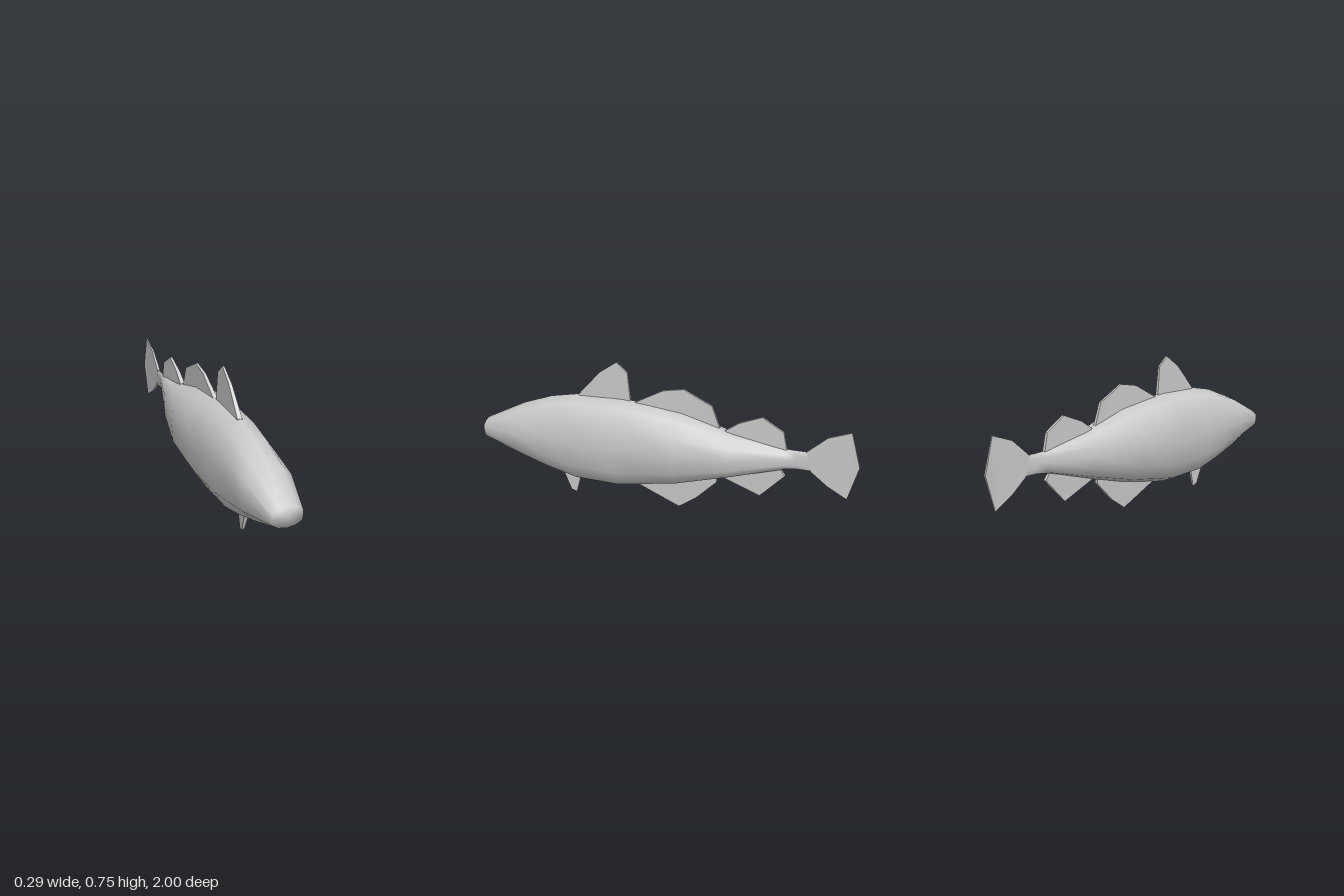
import * as THREE from 'three';

const material = new THREE.MeshStandardMaterial({ color: 0xcccccc, side: THREE.DoubleSide });

// Body cross-sections, nose to tail: [z, bottom, top, half width]
const SECTIONS = [
  [0.993, 0.26, 0.368, 0.075],
  [0.78, 0.188, 0.475, 0.122],
  [0.62, 0.132, 0.53, 0.127],
  [0.46, 0.09, 0.56, 0.133],
  [0.22, 0.085, 0.562, 0.142],
  [0.10, 0.107, 0.55, 0.144],
  [-0.10, 0.145, 0.525, 0.144],
  [-0.37, 0.218, 0.45, 0.094],
  [-0.64, 0.295, 0.402, 0.022],
  [-0.69, 0.302, 0.4, 0.009],
  [-0.78, 0.302, 0.4, 0.006],
];
const SIDES = 12;

function makeBody() {
  const pos = [], index = [];
  SECTIONS.forEach(([z, low, high, w], i) => {
    for (let j = 0; j < SIDES; j++) {
      const a = (j / SIDES) * Math.PI * 2;
      const tilt = i === 0 ? Math.sin(a) * 0.007 : 0; // upper lip leads the lower
      const c = Math.cos(a) * (Math.abs(Math.cos(a)) > 0.9 ? 1 : 1.1);
      pos.push(Math.abs(c) > 1 ? Math.sign(c) * w : c * w,
        (low + high) / 2 + Math.sin(a) * (high - low) / 2, z + tilt);
    }
  });
  for (let i = 0; i < SECTIONS.length - 1; i++) {
    for (let j = 0; j < SIDES; j++) {
      const a = i * SIDES + j, b = i * SIDES + (j + 1) % SIDES;
      index.push(a, a + SIDES, b, b, a + SIDES, b + SIDES);
    }
  }
  // Closed snout and tail stump
  const nose = pos.length / 3, last = (SECTIONS.length - 1) * SIDES;
  pos.push(0, 0.315, 0.995, 0, 0.35, -0.785);
  for (let j = 0; j < SIDES; j++) {
    const k = (j + 1) % SIDES;
    index.push(nose, j, k, nose + 1, last + k, last + j);
  }
  const geo = new THREE.BufferGeometry();
  geo.setAttribute('position', new THREE.Float32BufferAttribute(pos, 3));
  geo.setIndex(index);
  geo.computeVertexNormals();
  return geo;
}

// Thin plate from a [z, y] outline, thinning away from the root and to the rear
function makeFin(outline, rootY, thick) {
  const shape = new THREE.Shape(outline.map(([z, y]) => new THREE.Vector2(z, y)));
  const geo = new THREE.ExtrudeGeometry(shape, { depth: 2, bevelEnabled: false });
  geo.translate(0, 0, -1).rotateY(-Math.PI / 2);
  const zs = outline.map(p => p[0]), ys = outline.map(p => Math.abs(p[1] - rootY));
  const front = Math.max(...zs), length = front - Math.min(...zs), reach = Math.max(...ys);
  const p = geo.attributes.position;
  for (let i = 0; i < p.count; i++) {
    const out = Math.abs(p.getY(i) - rootY) / reach, back = (front - p.getZ(i)) / length;
    p.setX(i, p.getX(i) * thick * (1 - 0.35 * out - 0.35 * back));
  }
  geo.computeVertexNormals();
  return geo;
}

// name, height of root, half thickness, outline
const FINS = [
  ['firstDorsalFin', 0.53, 0.013,
    [[0.46, 0.56], [0.34, 0.69], [0.25, 0.75], [0.19, 0.7], [0.175, 0.56], [0.18, 0.52], [0.44, 0.52]]],
  ['secondDorsalFin', 0.5, 0.013,
    [[0.15, 0.55], [0.0, 0.628], [-0.11, 0.647], [-0.26, 0.575], [-0.3, 0.468], [-0.3, 0.42], [0.13, 0.5]]],
  ['thirdDorsalFin', 0.42, 0.014,
    [[-0.33, 0.46], [-0.4, 0.506], [-0.515, 0.55], [-0.625, 0.485], [-0.643, 0.4], [-0.62, 0.37], [-0.34, 0.42]]],
  ['pelvicFin', 0.13, 0.012,
    [[0.56, 0.115], [0.52, 0.015], [0.49, 0.005], [0.468, 0.085], [0.47, 0.13], [0.55, 0.14]]],
  ['firstAnalFin', 0.17, 0.013,
    [[0.13, 0.105], [-0.09, 0.01], [-0.18, 0.07], [-0.29, 0.175], [-0.295, 0.24], [0.12, 0.15]]],
  ['secondAnalFin', 0.26, 0.013,
    [[-0.31, 0.215], [-0.515, 0.135], [-0.64, 0.26], [-0.61, 0.3], [-0.62, 0.33], [-0.32, 0.25]]],
  ['tailFin', 0.35, 0.008,
    [[-0.74, 0.4], [-0.84, 0.485], [-0.953, 0.525], [-1.0, 0.352], [-0.948, 0.18], [-0.85, 0.235], [-0.765, 0.302]]],
];

export function createModel() {
  const model = new THREE.Group();
  model.name = 'fish';
  const add = (name, geo) => {
    const mesh = new THREE.Mesh(geo, material);
    mesh.name = name;
    model.add(mesh);
  };
  add('body', makeBody());
  for (const [name, rootY, thick, outline] of FINS) add(name, makeFin(outline, rootY, thick));
  return model;
}
